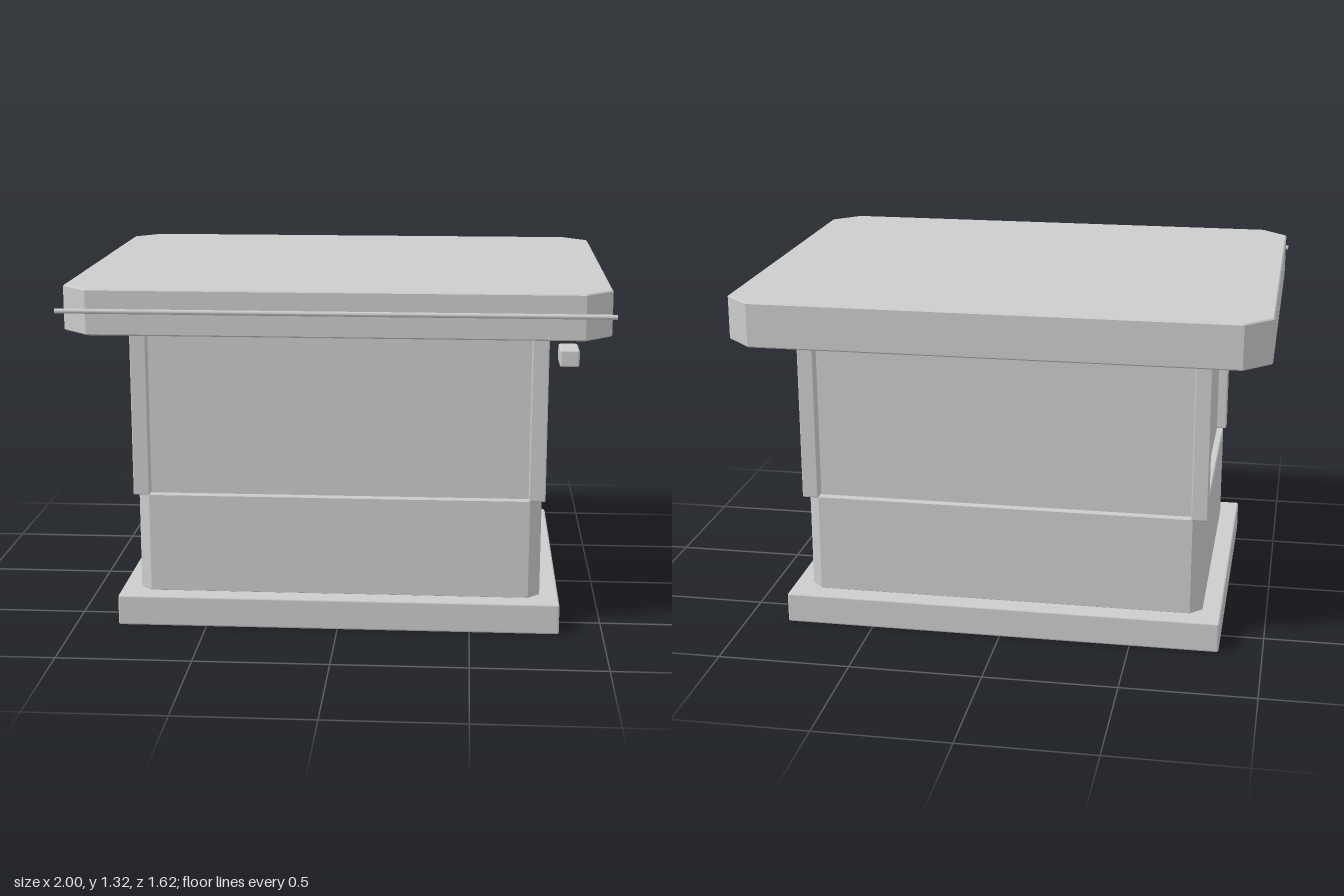
import * as THREE from 'three';
import { RoundedBoxGeometry } from 'three/addons/geometries/RoundedBoxGeometry.js';

export function createModel() {
  const model = new THREE.Group();
  model.name = 'kiosk';
  const grey = new THREE.MeshStandardMaterial({ color: 0xcccccc });
  grey.name = 'plain grey';

  const add = (name, geometry) => {
    const mesh = new THREE.Mesh(geometry, grey);
    mesh.name = name;
    model.add(mesh);
    return mesh;
  };

  // Softly edged box given by its extents
  const box = (name, x0, x1, y0, y1, z0, z1, r = 0.005) => {
    const mesh = add(name, new RoundedBoxGeometry(x1 - x0, y1 - y0, z1 - z0, 2, r));
    mesh.position.set((x0 + x1) / 2, (y0 + y1) / 2, (z0 + z1) / 2);
  };

  // Upright slab with cut corners and a fine bevel
  const slab = (name, x, z0, z1, y0, y1, cut, bevel) => {
    const shape = new THREE.Shape([
      [-x + cut, -z1], [x - cut, -z1], [x, -z1 + cut], [x, -z0 - cut],
      [x - cut, -z0], [-x + cut, -z0], [-x, -z0 - cut], [-x, -z1 + cut],
    ].map(([a, b]) => new THREE.Vector2(a, b)));
    const geometry = new THREE.ExtrudeGeometry(shape, {
      depth: y1 - y0 - 2 * bevel, bevelEnabled: true, bevelSegments: 1,
      bevelSize: bevel, bevelThickness: bevel, bevelOffset: -bevel,
    });
    geometry.rotateX(-Math.PI / 2).translate(0, y0 + bevel, 0);
    add(name, geometry);
  };

  // Plinth, lower walls, recessed upper walls and roof
  box('plinth', -0.837, 0.837, 0, 0.118, -0.655, 0.64, 0.008);
  slab('lowerWalls', 0.765, -0.577, 0.565, 0.115, 0.5, 0.045, 0.004);
  box('upperWalls', -0.738, 0.738, 0.49, 1.155, -0.552, 0.54, 0.003);
  slab('roof', 0.992, -0.81, 0.787, 1.15, 1.318, 0.1, 0.005);

  // Corner posts
  for (const side of [-1, 1]) {
    const [x0, x1] = side < 0 ? [-0.777, -0.715] : [0.715, 0.777];
    const label = side < 0 ? 'right' : 'left';
    box(label + 'FrontPost', x0, x1, 0.5, 1.152, 0.515, 0.58);
    box(label + 'BackPost', x0, x1, 0.5, 1.152, -0.595, -0.53);
  }

  // Side door
  box('door', 0.7, 0.77, 0.117, 1.108, -0.428, -0.05, 0.003);

  // Awning rod along the front of the roof, with its small motor box
  const rod = add('awningRod', new THREE.CylinderGeometry(0.009, 0.009, 2, 16));
  rod.rotation.z = Math.PI / 2;
  rod.position.set(0, 1.24, 0.799);
  box('motorBox', 0.803, 0.873, 1.056, 1.118, 0.652, 0.787, 0.008);

  return model;
}
